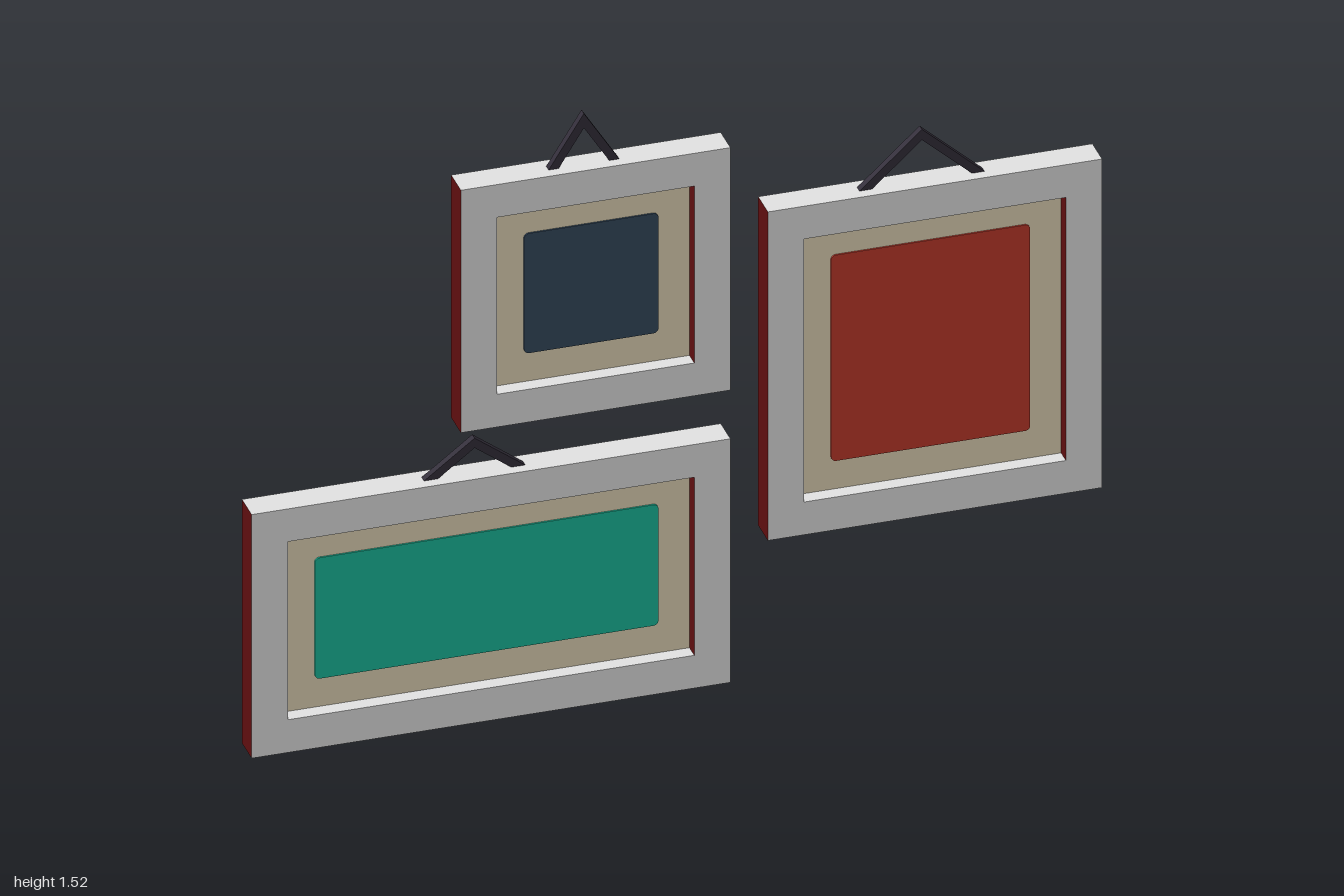
import * as THREE from 'three';

const paint = (name, color) => {
  const m = new THREE.MeshStandardMaterial({ color });
  m.name = name;
  return m;
};

const D = 0.036;      // half depth of a frame
const BORDER = 0.085; // width of the frame mouldings
const MARGIN = 0.074; // mat showing around the picture
const CORD = 0.02;    // thickness of the hanger

function box(name, w, h, d, x, y, z, material) {
  const mesh = new THREE.Mesh(new THREE.BoxGeometry(w, h, d), material);
  mesh.name = name;
  mesh.position.set(x, y, z);
  return mesh;
}

// Rectangle with small rounded corners, centred on the origin
function roundedRect(w, h, r) {
  const s = new THREE.Shape();
  const x = w / 2 - r, y = h / 2 - r;
  s.absarc(x, y, r, 0, Math.PI / 2);
  s.absarc(-x, y, r, Math.PI / 2, Math.PI);
  s.absarc(-x, -y, r, Math.PI, Math.PI * 1.5);
  s.absarc(x, -y, r, Math.PI * 1.5, Math.PI * 2);
  s.closePath();
  return s;
}

// Inverted V of even thickness: half width and height of its outer edge
function hangerShape(half, height) {
  const len = Math.hypot(half, height);
  const dx = CORD * len / height, dy = CORD * len / half;
  return new THREE.Shape([
    [-half, 0], [-half + dx, 0], [0, height - dy],
    [half - dx, 0], [half, 0], [0, height],
  ].map(([x, y]) => new THREE.Vector2(x, y)));
}

export function createModel() {
  const grey = paint('frameGrey', 0xe3e3e3);
  const darkRed = paint('sideDarkRed', 0x5f0e0f);
  const cream = paint('matCream', 0xe5d8b9);
  const dark = paint('hangerDark', 0x332e3a);
  const navy = paint('pictureNavy', 0x34495e);
  const red = paint('pictureRed', 0xc0392b);
  const teal = paint('pictureTeal', 0x1abc9c);

  // Outer edges of each frame, and its hanger: centre x, half width, height
  const pictures = [
    { name: 'squarePicture', x: [-0.508, 0.126], y: [0.757, 1.385], hang: [-0.21, 0.083, 0.132], color: navy },
    { name: 'tallPicture', x: [0.214, 1], y: [0.352, 1.203], hang: [0.585, 0.147, 0.134], color: red },
    { name: 'widePicture', x: [-1, 0.126], y: [0, 0.631], hang: [-0.467, 0.119, 0.09], color: teal },
  ];

  const model = new THREE.Group();
  model.name = 'hangingPictures';
  for (const p of pictures) {
    const g = new THREE.Group();
    g.name = p.name;
    const w = p.x[1] - p.x[0], h = p.y[1] - p.y[0];
    const iw = w - 2 * BORDER, ih = h - 2 * BORDER;
    g.position.set((p.x[0] + p.x[1]) / 2, (p.y[0] + p.y[1]) / 2, 0);

    // Frame mouldings; the stiles are dark red on both sides
    for (const s of [-1, 1]) {
      g.add(box(s < 0 ? 'rightStile' : 'leftStile', BORDER, h, 2 * D, s * (w - BORDER) / 2, 0, 0,
        [darkRed, darkRed, grey, grey, grey, grey]));
      g.add(box(s < 0 ? 'bottomRail' : 'topRail', iw, BORDER, 2 * D, 0, s * (h - BORDER) / 2, 0, grey));
    }

    // Backing board with the mat as its front face
    g.add(box('backingAndMat', iw, ih, D, 0, 0, -D / 2, [grey, grey, grey, grey, cream, grey]));

    // Picture, a thin plate on the mat
    const picture = new THREE.Mesh(new THREE.ExtrudeGeometry(
      roundedRect(iw - 2 * MARGIN, ih - 2 * MARGIN, 0.012),
      { depth: 0.004, bevelEnabled: false, curveSegments: 4 }), p.color);
    picture.name = 'picture';
    g.add(picture);

    // Hanger on the top edge
    const [cx, half, height] = p.hang;
    const hanger = new THREE.Mesh(new THREE.ExtrudeGeometry(
      hangerShape(half, height), { depth: 0.018, bevelEnabled: false }), dark);
    hanger.name = 'hanger';
    hanger.position.set(cx - g.position.x, h / 2, -0.009);
    g.add(hanger);

    model.add(g);
  }
  return model;
}
